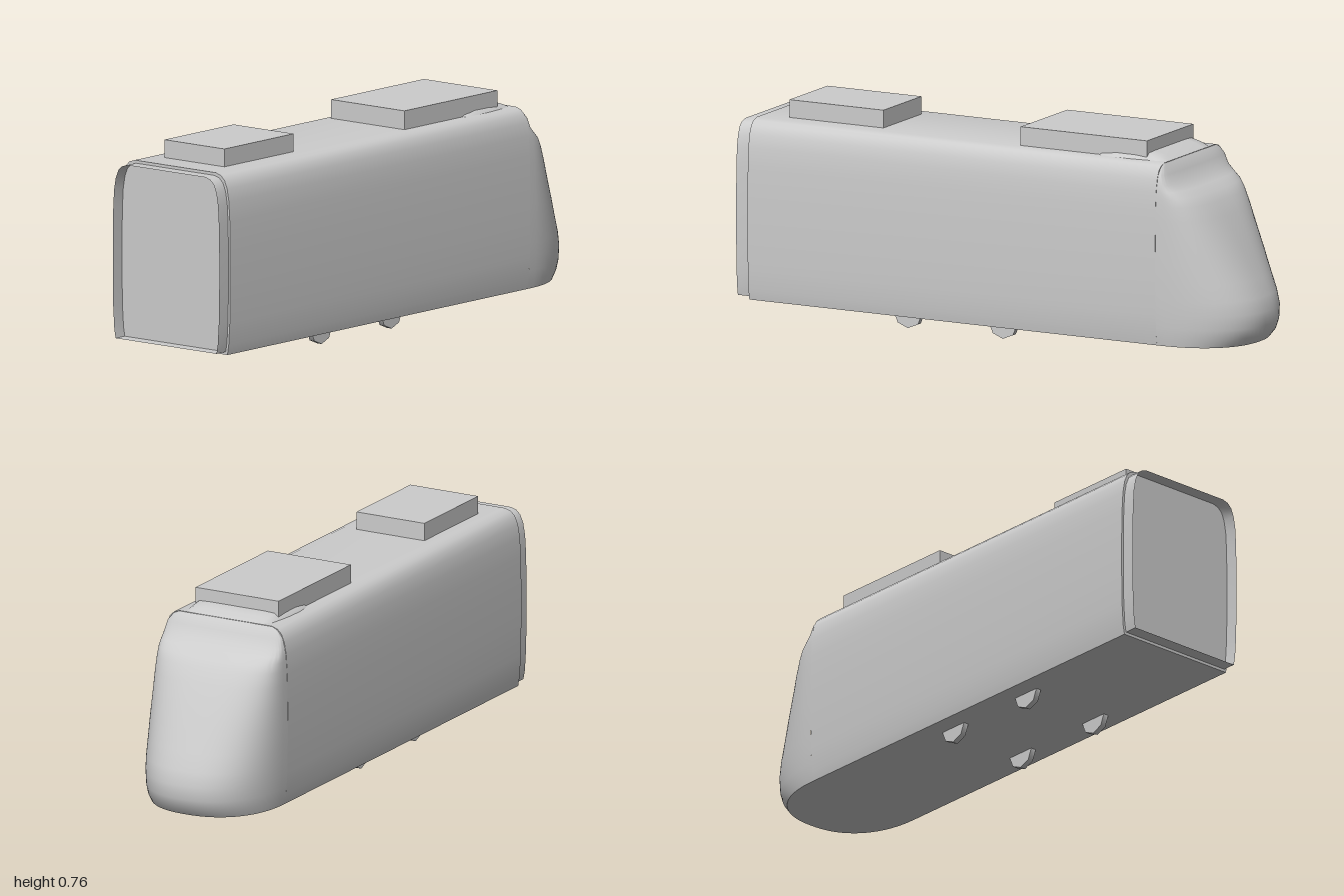
import * as THREE from 'three';
import { toCreasedNormals } from 'three/addons/utils/BufferGeometryUtils.js';

const BACK = -0.68, END = 0.95;

// Half of the body cross-section, bottom to top: [x, y]
const SECTION = [
  [0.238, 0.055], [0.244, 0.09], [0.249, 0.17], [0.251, 0.3], [0.251, 0.42], [0.249, 0.53],
  [0.245, 0.6], [0.237, 0.645], [0.225, 0.674], [0.208, 0.69], [0.185, 0.697],
];
const mirrored = (half) => [...half, ...half.map(([x, y]) => [-x, y]).reverse()];

// Surface through a grid of points, rows of equal length
function loft(rows, crease = 0.7) {
  const n = rows[0].length, index = [];
  for (let i = 0; i < rows.length - 1; i++) {
    for (let j = 0; j < n - 1; j++) {
      const a = i * n + j, b = a + 1, c = a + n, d = c + 1;
      index.push(a, b, c, b, d, c);
    }
  }
  const g = new THREE.BufferGeometry();
  g.setAttribute('position', new THREE.Float32BufferAttribute(rows.flat(2), 3));
  g.setIndex(index);
  return toCreasedNormals(g, crease);
}

// Rounded nose: horizontal slices, each a superellipse arc around the end
function noseGeometry() {
  // y, half width, furthest z, squareness
  const slices = [
    [0.055, 0.238, -0.96, 2.3], [0.085, 0.243, -0.985, 2.3], [0.12, 0.246, -0.998, 2.3],
    [0.17, 0.249, -1.0, 2.3], [0.22, 0.25, -0.985, 2.35], [0.28, 0.251, -0.957, 2.4],
    [0.35, 0.251, -0.925, 2.5], [0.42, 0.25, -0.891, 2.6], [0.5, 0.249, -0.85, 2.8],
    [0.55, 0.247, -0.82, 3], [0.58, 0.245, -0.795, 3.2], [0.602, 0.243, -0.76, 3.4],
    [0.625, 0.239, -0.725, 3.6], [0.66, 0.23, -0.708, 3.6], [0.685, 0.21, -0.692, 3.6],
    [0.696, 0.187, -0.682, 3.6],
  ];
  const steps = 40;
  const rows = slices.map(([y, w, z, n]) => Array.from({ length: steps + 1 }, (_, j) => {
    const t = (j / steps) * Math.PI, c = Math.cos(t), s = Math.max(Math.sin(t), 0);
    return [Math.sign(c) * w * Math.abs(c) ** (2 / n), y, BACK + (z - BACK) * s ** (2 / n)];
  }));
  const floor = rows[0].map(() => [0, 0.055, BACK]);
  return loft([floor, ...rows]);
}

// Low fairing that rises from the roof below the rear roof unit
function fairingGeometry() {
  // z, half width, top y
  const stations = [
    [-0.38, 0.165, 0.692], [-0.42, 0.185, 0.712], [-0.48, 0.191, 0.717], [-0.55, 0.188, 0.719],
    [-0.6, 0.182, 0.72], [-0.64, 0.178, 0.712], [-0.682, 0.175, 0.695],
  ];
  return loft(stations.map(([z, w, y]) => mirrored([
    [w, 0.688], [w - 0.01, 0.688 + (y - 0.688) * 0.45], [w - 0.03, y - 0.002], [w - 0.07, y],
  ]).map(([px, py]) => [px, py, z])));
}

export function createModel() {
  const model = new THREE.Group();
  model.name = 'railCar';
  const grey = new THREE.MeshStandardMaterial({ color: 0xcccccc });
  grey.name = 'bodyGrey';
  const greyOpen = new THREE.MeshStandardMaterial({ color: 0xcccccc, side: THREE.DoubleSide });
  greyOpen.name = 'bodyGreyTwoSided';

  const add = (name, geometry, material = grey, x = 0, y = 0, z = 0) => {
    const mesh = new THREE.Mesh(geometry, material);
    mesh.name = name;
    mesh.position.set(x, y, z);
    model.add(mesh);
    return mesh;
  };

  // Long body with the full cross-section
  const outline = new THREE.Shape(mirrored(SECTION).map(([x, y]) => new THREE.Vector2(x, y)));
  const body = new THREE.ExtrudeGeometry(outline, { depth: END - BACK, bevelEnabled: false });
  add('body', toCreasedNormals(body, 0.7), grey, 0, 0, BACK);

  add('nose', noseGeometry());
  add('roofFairing', fairingGeometry(), greyOpen);

  // Open gangway collar at the coupling end
  const ring = mirrored(SECTION).map(([x, y]) => [x * 0.968, 0.376 + (y - 0.376) * 0.968]);
  ring.push(ring[0]);
  add('gangwayCollar', loft([END, 1].map((z) => ring.map(([x, y]) => [x, y, z]))), greyOpen);

  // Roof equipment boxes
  add('frontRoofUnit', new THREE.BoxGeometry(0.274, 0.075, 0.376), grey, 0, 0.723, 0.658);
  add('rearRoofUnit', new THREE.BoxGeometry(0.335, 0.078, 0.505), grey, 0, 0.725, -0.348);

  // Wheels half sunk into the floor
  for (const z of [0.355, -0.025]) {
    for (const side of [1, -1]) {
      const wheel = new THREE.CylinderGeometry(0.057, 0.057, 0.021, 8).rotateZ(Math.PI / 2);
      add(side > 0 ? 'leftWheel' : 'rightWheel', toCreasedNormals(wheel, 0.9), grey, side * 0.158, 0.057, z);
    }
  }
  return model;
}
